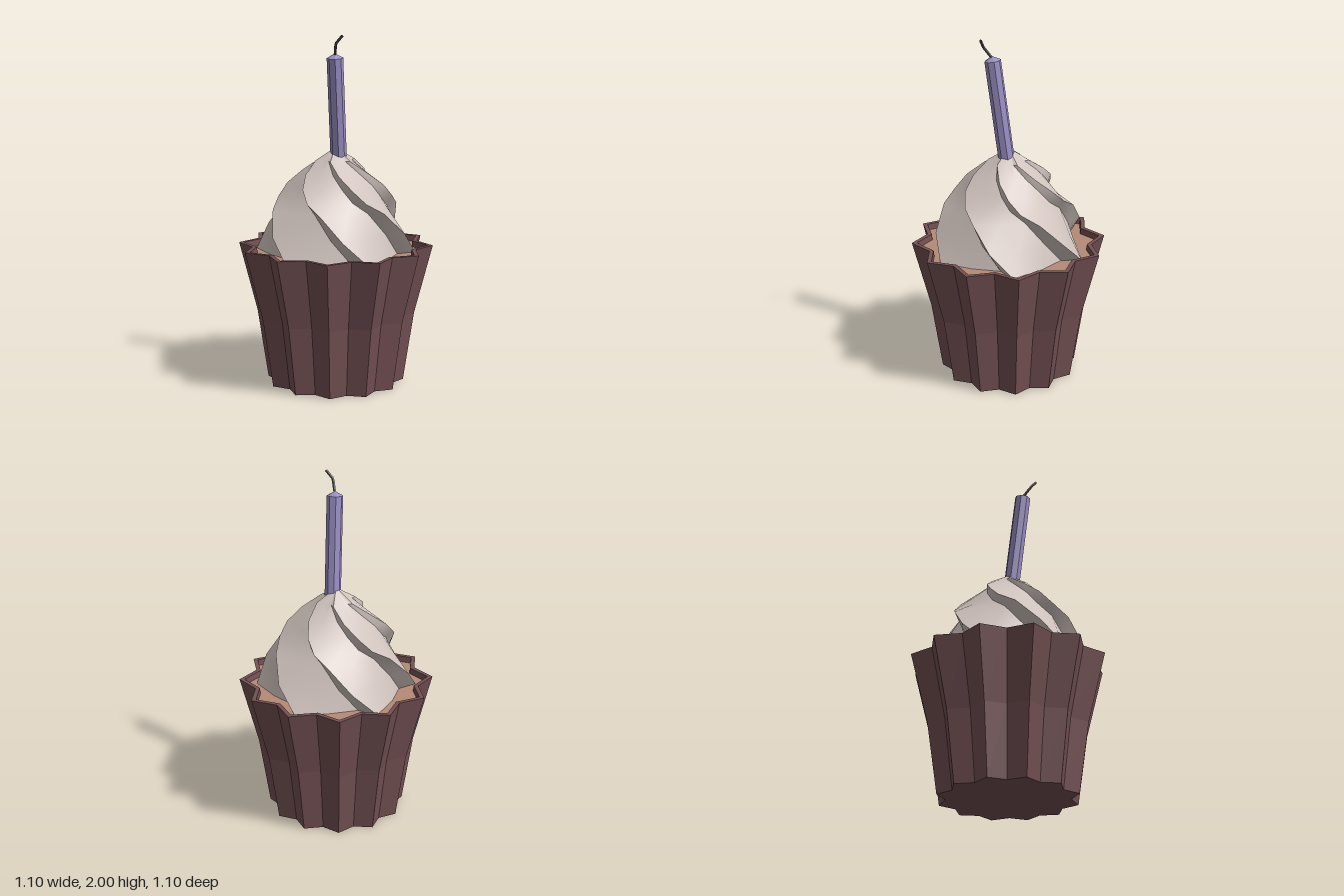
import * as THREE from 'three';
import { toCreasedNormals } from 'three/addons/utils/BufferGeometryUtils.js';

const RAD = Math.PI / 180;
const mat = (color, flatShading = true) => new THREE.MeshStandardMaterial({ color, flatShading });

// Joins closed rings of equal point count, listed from bottom to top.
function loft(rings) {
  const pos = [];
  const tri = (a, b, c) => {
    const area = b.clone().sub(a).cross(c.clone().sub(a)).length();
    if (area > 1e-8) [a, b, c].forEach((p) => pos.push(p.x, p.y, p.z));
  };
  for (let k = 0; k < rings.length - 1; k++) {
    const lo = rings[k], hi = rings[k + 1];
    for (let i = 0; i < lo.length; i++) {
      const j = (i + 1) % lo.length;
      tri(lo[i], hi[i], lo[j]);
      tri(hi[i], hi[j], lo[j]);
    }
  }
  const geo = new THREE.BufferGeometry();
  geo.setAttribute('position', new THREE.Float32BufferAttribute(pos, 3));
  geo.computeVertexNormals();
  return geo;
}

const polar = (r, deg, y) => new THREE.Vector3(r * Math.cos(deg * RAD), y, r * Math.sin(deg * RAD));

// Twelve-pointed pleated ring: tip radius, notch radius, height.
function pleatRing(tip, notch, y) {
  return Array.from({ length: 24 }, (_, i) => polar(i % 2 ? notch : tip, -10 + 15 * i, y));
}

// Six-lobed sawtooth ring: each lobe has a ridge, a groove beside it and a rising back.
function swirlRing(r, y, twist) {
  const ring = [];
  for (let i = 0; i < 6; i++) {
    const a = 22 + 60 * i + twist;
    ring.push(polar(r, a, y), polar(r * 0.8, a + 10, y), polar(r * 0.85, a + 36, y));
  }
  return ring;
}

export function createModel() {
  const group = new THREE.Group();
  const add = (name, geo, material) => {
    const mesh = new THREE.Mesh(geo, material);
    mesh.name = name;
    group.add(mesh);
    return mesh;
  };

  // Pleated paper cup with a thin rim and a shallow inner wall
  add('cup', loft([
    pleatRing(0, 0, 0),
    pleatRing(0.395, 0.34, 0),
    pleatRing(0.455, 0.392, 0.4),
    pleatRing(0.558, 0.48, 0.8),
    pleatRing(0.528, 0.454, 0.8),
    pleatRing(0.522, 0.449, 0.75),
  ]), mat(0x745154));

  // Cake surface just below the rim
  add('cake', loft([pleatRing(0.524, 0.451, 0.765), pleatRing(0, 0, 0.765)]), mat(0xb58b77));

  // Swirled frosting: radius, height, twist per ring
  const swirl = [
    [0.46, 0.76, 0], [0.43, 0.89, 18], [0.37, 1.02, 36], [0.325, 1.08, 52],
    [0.28, 1.15, 64], [0.205, 1.22, 78], [0.115, 1.29, 98], [0, 1.36, 110],
  ];
  const frosting = loft(swirl.map(([r, y, t]) => swirlRing(r, y, t)));
  add('frosting', toCreasedNormals(frosting, 30 * RAD), mat(0xd0c3be, false));

  // Leaning candle with a slightly pointed top
  const foot = new THREE.Vector3(0.022, 1.275, -0.005);
  const head = new THREE.Vector3(0.06, 1.87, 0.065);
  const axis = head.clone().sub(foot);
  const len = axis.length();
  const profile = [[0, 0], [0.046, 0], [0.046, len], [0, len + 0.025]].map(([x, y]) => new THREE.Vector2(x, y));
  const candle = add('candle', new THREE.LatheGeometry(profile, 8), mat(0x9a90c4));
  candle.position.copy(foot);
  candle.quaternion.setFromUnitVectors(new THREE.Vector3(0, 1, 0), axis.normalize());

  // Bent wick
  const path = new THREE.CurvePath();
  const pts = [[0.06, 1.88, 0.066], [0.1, 1.95, 0.1], [0.14, 1.995, 0.088]].map((p) => new THREE.Vector3(...p));
  for (let i = 0; i < 2; i++) path.add(new THREE.LineCurve3(pts[i], pts[i + 1]));
  const wick = add('wick', new THREE.TubeGeometry(path, 8, 0.008, 5), mat(0x5a5a5a));
  wick.material.side = THREE.DoubleSide;

  return group;
}
